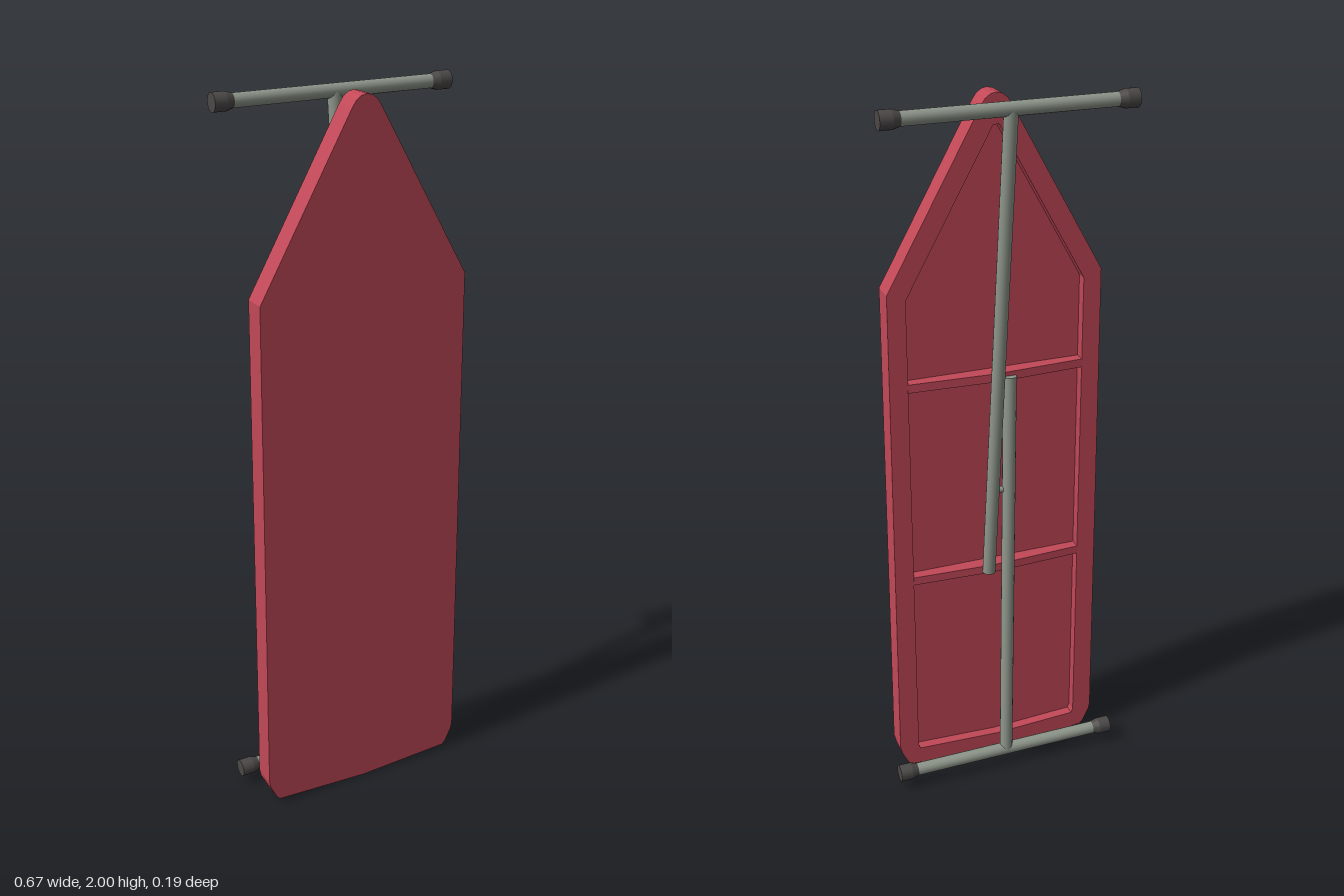
import * as THREE from 'three';

const fabric = new THREE.MeshStandardMaterial({ color: 0xc24857 });
fabric.name = 'red cover';
const metal = new THREE.MeshStandardMaterial({ color: 0x8e968b });
metal.name = 'grey metal';
const rubber = new THREE.MeshStandardMaterial({ color: 0x4c4848 });
rubber.name = 'dark rubber';

const V = (x, y, z) => new THREE.Vector3(x, y, z);

function add(parent, name, geometry, material) {
  const mesh = new THREE.Mesh(geometry, material);
  mesh.name = name;
  parent.add(mesh);
  return mesh;
}

// Straight tube between two points
function tube(parent, name, a, b, radius, material = metal) {
  const mesh = add(parent, name, new THREE.CylinderGeometry(radius, radius, a.distanceTo(b), 16), material);
  mesh.position.copy(a).add(b).multiplyScalar(0.5);
  mesh.quaternion.setFromUnitVectors(V(0, 1, 0), b.clone().sub(a).normalize());
  return mesh;
}

// Closed outline from its right half, listed from bottom to top
function mirrored(half) {
  const left = half.filter(([x]) => x > 0).map(([x, y]) => [-x, y]).reverse();
  return [...half, ...left].map(([x, y]) => new THREE.Vector2(x, y));
}

function slab(shape, z0, z1) {
  const g = new THREE.ExtrudeGeometry(shape, { depth: z1 - z0, bevelEnabled: false });
  return g.translate(0, 0, z0);
}

function createBoard() {
  const board = new THREE.Group();
  board.name = 'board';
  const outline = mirrored([
    [0, 0.003], [0.275, 0.016], [0.285, 0.027], [0.303, 0.065], [0.307, 0.085], [0.307, 0.11],
    [0.298, 1.505], [0.04, 1.965], [0.029, 1.981], [0.015, 1.991], [0, 1.994],
  ]);
  const inner = mirrored([[0, 0.055], [0.245, 0.066], [0.25, 0.08], [0.248, 1.485], [0.008, 1.915]]);

  // Solid front and raised rim around the hollow back
  add(board, 'ironingSurface', slab(new THREE.Shape(outline), 0.058, 0.095), fabric);
  const rim = new THREE.Shape(outline);
  rim.holes.push(new THREE.Path(inner));
  add(board, 'backRim', slab(rim, 0.029, 0.058), fabric);

  // Cross bars, deepest in the middle
  for (const y of [1.24, 0.65]) {
    const profile = new THREE.Shape([
      [-0.25, 0.06], [0.25, 0.06], [0.25, 0.028], [0.02, 0.016], [-0.02, 0.016], [-0.25, 0.028],
    ].map(([x, z]) => new THREE.Vector2(x, -z)).reverse());
    const g = new THREE.ExtrudeGeometry(profile, { depth: 0.024, bevelEnabled: false });
    g.rotateX(-Math.PI / 2);
    add(board, 'crossBar', g, fabric).position.y = y - 0.012;
  }
  return board;
}

// Leg with a foot bar and two rubber caps
function createLeg(name, foot, end) {
  const leg = new THREE.Group();
  leg.name = name;
  tube(leg, 'legTube', foot, end, 0.0185);
  tube(leg, 'footBar', V(-0.3, foot.y, foot.z), V(0.3, foot.y, foot.z), 0.0185);
  const taper = new THREE.CylinderGeometry(0.0245, 0.0185, 0.02, 16, 1, true).translate(0, 0.29, 0);
  const grip = new THREE.CylinderGeometry(0.0245, 0.0245, 0.034, 16).translate(0, 0.317, 0);
  for (const side of [-1, 1]) {
    for (const [part, g] of [['capTaper', taper], ['footCap', grip]]) {
      const cap = add(leg, part, g, rubber);
      cap.rotation.z = -side * Math.PI / 2;
      cap.position.set(0, foot.y, foot.z);
    }
  }
  return leg;
}

export function createModel() {
  const model = new THREE.Group();
  model.name = 'ironingBoard';
  model.add(createBoard());
  model.add(createLeg('upperLeg', V(0, 1.9755, -0.072), V(0.03, 0.645, 0.014)));
  model.add(createLeg('lowerLeg', V(0, 0.053, -0.046), V(-0.032, 1.24, 0.014)));
  // Pivot pin where the legs cross
  tube(model, 'pivotPin', V(-0.03, 0.91, 0), V(0.03, 0.91, 0), 0.009);
  return model;
}
